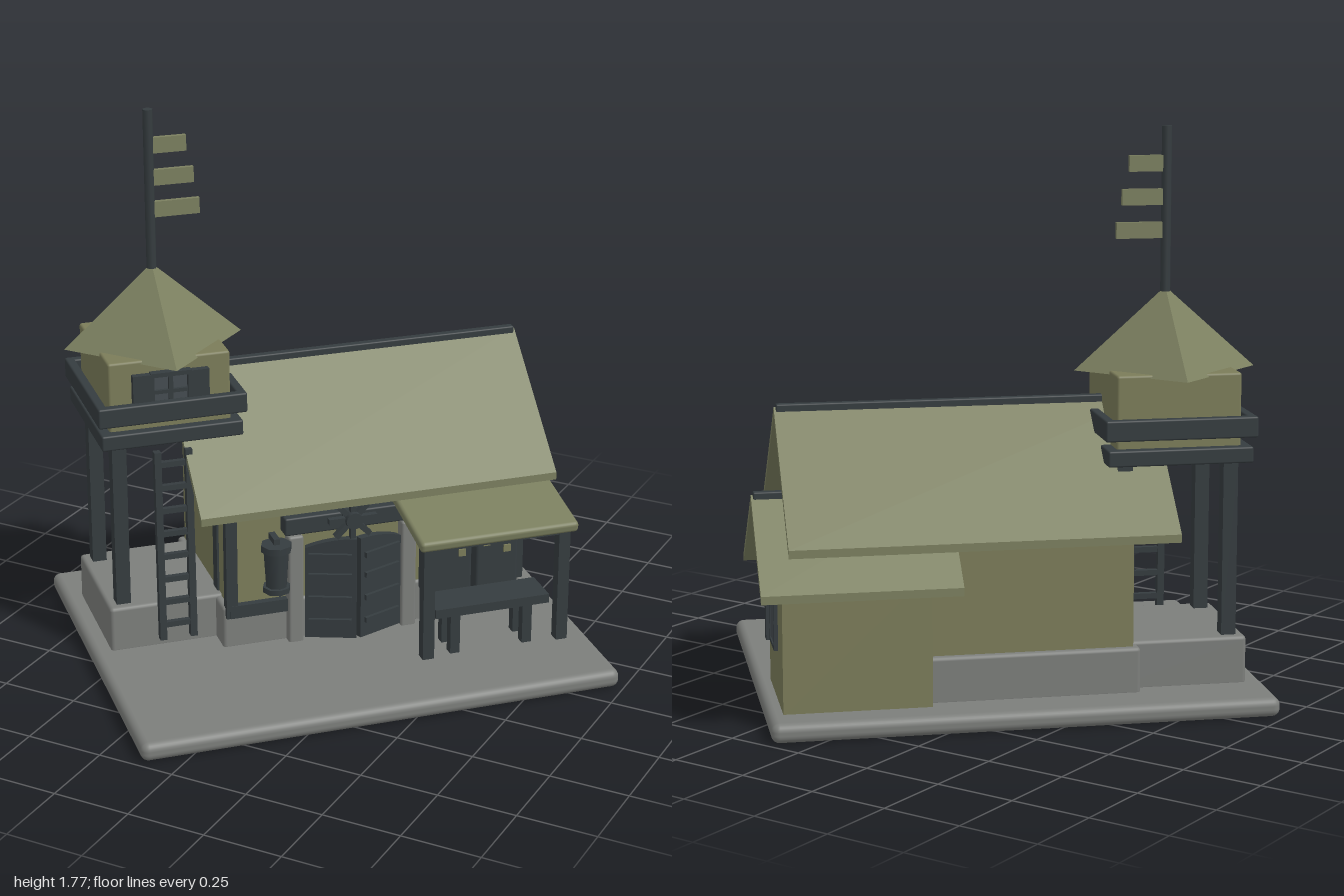
import * as THREE from 'three';
import { RoundedBoxGeometry } from 'three/addons/geometries/RoundedBoxGeometry.js';

const mat = (name, color) => {
  const m = new THREE.MeshStandardMaterial({ color });
  m.name = name;
  return m;
};

export function createModel() {
  const root = new THREE.Group();
  root.name = 'outpost';
  const roofMat = mat('olive roof', 0x7b7f5f);
  const wallMat = mat('olive wall', 0x7b7c59);
  const stone = mat('grey stone', 0x7c7e7b);
  const dark = mat('dark timber', 0x353c3f);
  const glass = mat('window grey', 0x454c50);

  const add = (name, geo, material, x = 0, y = 0, z = 0, parent = root) => {
    const m = new THREE.Mesh(geo, material);
    m.name = name;
    m.position.set(x, y, z);
    parent.add(m);
    return m;
  };
  // Box given by its min and max on each axis, optionally with rounded edges
  const span = (name, material, [x0, x1], [y0, y1], [z0, z1], r = 0, parent = root) => {
    const s = [x1 - x0, y1 - y0, z1 - z0];
    const geo = r ? new RoundedBoxGeometry(...s, 2, r) : new THREE.BoxGeometry(...s);
    return add(name, geo, material, (x0 + x1) / 2, (y0 + y1) / 2, (z0 + z1) / 2, parent);
  };
  // Cross-section (z, y) extruded along x
  const prism = (name, material, pts, x0, x1, z) => {
    const shape = new THREE.Shape(pts.map(p => new THREE.Vector2(...p)));
    const geo = new THREE.ExtrudeGeometry(shape, { depth: x1 - x0, bevelEnabled: false });
    geo.rotateY(Math.PI / 2);
    return add(name, geo, material, x0, 0, z);
  };
  const gableRoof = (name, hw, eave, ridge, x0, x1, z, t = 0.025) => {
    prism(name, roofMat, [[-hw, eave - t], [0, ridge - t], [hw, eave - t],
      [hw, eave], [0, ridge], [-hw, eave]], x0, x1, z);
    span(name + 'Ridge', dark, [x0 + 0.01, x1 - 0.006], [ridge - 0.02, ridge + 0.01], [z - 0.014, z + 0.014], 0.005);
  };
  const gableWall = (name, hw, base, eave, ridge, x0, x1, z) =>
    prism(name, wallMat, [[-hw, base], [hw, base], [hw, eave], [0, ridge], [-hw, eave]], x0, x1, z);

  // Ground slab and foundations
  add('groundSlab', new RoundedBoxGeometry(1.55, 0.06, 1.25, 3, 0.025), stone, 0, 0.03, 0);
  span('houseFoundation', stone, [-0.37, 0.645], [0.05, 0.2], [-0.48, 0.088], 0.012);
  span('towerFoundation', stone, [-0.717, -0.285], [0.05, 0.207], [-0.431, 0.001], 0.012);

  // Main house
  gableWall('houseWalls', 0.27, 0.19, 0.64, 0.9, -0.35, 0.64, -0.19);
  gableRoof('houseRoof', 0.392, 0.573, 0.93, -0.467, 0.714, -0.19);

  // Annex at the end of the house
  gableWall('annexWalls', 0.195, 0.055, 0.48, 0.66, 0.28, 0.73, -0.325);
  gableRoof('annexRoof', 0.285, 0.447, 0.69, 0.2, 0.8, -0.33);
  span('annexWindow', glass, [0.725, 0.738], [0.225, 0.38], [-0.38, -0.25]);
  for (const s of [-1, 1]) {
    span('annexWindowFrame', dark, [0.725, 0.742], [0.22, 0.385],
      [-0.315 + s * 0.065 - 0.007, -0.315 + s * 0.065 + 0.007]);
    span('annexWindowFrame', dark, [0.725, 0.742],
      [0.302 + s * 0.078 - 0.006, 0.302 + s * 0.078 + 0.006], [-0.38, -0.25]);
  }

  // Timber frame on the house
  span('eaveBeam', dark, [-0.36, 0.655], [0.505, 0.55], [0.07, 0.105]);
  span('endBeam', dark, [0.63, 0.66], [0.505, 0.55], [-0.13, 0.075]);
  span('cornerPost', dark, [-0.362, -0.325], [0.165, 0.52], [0.07, 0.102]);
  span('cornerPost', dark, [0.61, 0.648], [0.165, 0.52], [0.07, 0.102]);
  span('endPost', dark, [0.632, 0.67], [0.168, 0.52], [-0.01, 0.027]);
  span('sill', dark, [-0.35, -0.16], [0.165, 0.208], [0.07, 0.104]);

  // Gateway: pillars, lintel, double door and wheel
  for (const s of [-1, 1]) {
    span('gatePillar', stone, [0.055 + s * 0.19 - 0.025, 0.055 + s * 0.19 + 0.025], [0.05, 0.43], [0.06, 0.12], 0.008);
    const hinge = new THREE.Group();
    hinge.name = 'doorLeaf';
    hinge.position.set(0.055 + s * 0.157, 0, 0.105);
    hinge.rotation.y = s * 0.36;
    root.add(hinge);
    // Leaf with an arched top
    const leaf = new THREE.Shape();
    leaf.moveTo(0, 0.07);
    leaf.lineTo(-s * 0.165, 0.07);
    leaf.lineTo(-s * 0.165, 0.42);
    leaf.quadraticCurveTo(-s * 0.08, 0.42, 0, 0.385);
    add('doorPanel', new THREE.ExtrudeGeometry(leaf, { depth: 0.025, bevelEnabled: false }), dark, 0, 0, -0.012, hinge);
    for (const y of [0.13, 0.21, 0.29, 0.36]) {
      const a = -s * 0.012, b = -s * 0.15;
      span('doorStrap', dark, [Math.min(a, b), Math.max(a, b)], [y - 0.009, y + 0.009], [0.01, 0.024], 0, hinge);
    }
  }
  span('gateLintel', dark, [-0.175, 0.285], [0.44, 0.5], [0.06, 0.13], 0.006);
  const wheel = new THREE.Group();
  wheel.name = 'gateWheel';
  wheel.position.set(0.04, 0.485, 0.155);
  root.add(wheel);
  for (let i = 0; i < 4; i++) {
    add('wheelSpoke', new THREE.BoxGeometry(0.16, 0.018, 0.02), dark, 0, 0, 0, wheel).rotation.z = i * Math.PI / 4;
  }
  const hub = new THREE.CylinderGeometry(0.028, 0.028, 0.05, 12);
  hub.rotateX(Math.PI / 2);
  add('wheelHub', hub, dark, 0, 0, 0, wheel);

  // Lantern beside the gate
  add('lanternBody', new THREE.CylinderGeometry(0.042, 0.034, 0.13, 8), dark, -0.205, 0.335, 0.13);
  add('lanternCap', new THREE.CylinderGeometry(0.05, 0.05, 0.022, 8), dark, -0.205, 0.41, 0.13);
  add('lanternFoot', new THREE.CylinderGeometry(0.045, 0.045, 0.018, 8), dark, -0.205, 0.267, 0.13);
  span('lanternBracket', dark, [-0.215, -0.195], [0.42, 0.44], [0.07, 0.14]);

  // Porch with cupboard and table
  add('porchRoof', new RoundedBoxGeometry(0.53, 0.036, 0.335, 2, 0.012), roofMat, 0.455, 0.49, 0.22).rotation.x = 0.2;
  for (const x of [0.225, 0.68]) span('porchPost', dark, [x - 0.019, x + 0.019], [0.055, 0.46], [0.328, 0.366]);
  span('porchBeam', dark, [0.21, 0.7], [0.43, 0.455], [0.335, 0.36]);
  span('cupboard', dark, [0.29, 0.435], [0.17, 0.43], [0.08, 0.19], 0.01);
  span('cupboard', dark, [0.445, 0.59], [0.17, 0.4], [0.08, 0.2], 0.01);
  for (const [x, y] of [[0.34, 0.37], [0.4, 0.33], [0.48, 0.36], [0.55, 0.33]]) {
    span('cupboardStud', wallMat, [x - 0.012, x + 0.012], [y - 0.012, y + 0.012], [0.18, x < 0.44 ? 0.195 : 0.206]);
  }
  span('tableTop', dark, [0.25, 0.635], [0.195, 0.225], [0.23, 0.36]);
  for (const x of [0.32, 0.565]) for (const z of [0.255, 0.335]) {
    span('tableLeg', dark, [x - 0.016, x + 0.016], [0.055, 0.2], [z - 0.016, z + 0.016]);
  }

  // Watchtower
  const tower = new THREE.Group();
  tower.name = 'watchtower';
  tower.position.set(-0.5, 0, -0.215);
  root.add(tower);
  for (const x of [-0.166, 0.166]) for (const z of [-0.166, 0.166]) {
    span('towerPost', dark, [x - 0.023, x + 0.023], [0.2, 0.77], [z - 0.023, z + 0.023], 0, tower);
  }
  span('towerFloor', dark, [-0.227, 0.227], [0.755, 0.805], [-0.227, 0.227], 0.006, tower);
  span('towerCabin', wallMat, [-0.195, 0.195], [0.79, 1.03], [-0.195, 0.195], 0.008, tower);
  for (let i = 0; i < 4; i++) {
    const side = new THREE.Group();
    side.name = 'railSide';
    side.rotation.y = i * Math.PI / 2;
    tower.add(side);
    span('railBeam', dark, [-0.238, 0.238], [0.835, 0.9], [0.208, 0.238], 0.006, side);
  }
  // Window with frame and shutters
  span('towerWindow', glass, [-0.055, 0.055], [0.87, 0.985], [0.19, 0.202], 0, tower);
  span('towerMullion', dark, [-0.007, 0.007], [0.87, 0.985], [0.19, 0.212], 0, tower);
  span('towerMullion', dark, [-0.055, 0.055], [0.92, 0.932], [0.19, 0.212], 0, tower);
  span('towerWindowHead', dark, [-0.065, 0.065], [0.978, 0.992], [0.19, 0.22], 0, tower);
  for (const s of [-1, 1]) {
    span('towerShutter', dark, [s * 0.088 - 0.034, s * 0.088 + 0.034], [0.87, 0.988], [0.19, 0.217], 0, tower);
  }
  const pyramid = new THREE.ConeGeometry(0.287, 0.255, 4).toNonIndexed();
  pyramid.computeVertexNormals();
  add('towerRoof', pyramid, roofMat, 0, 1.147, 0, tower);
  add('mast', new THREE.CylinderGeometry(0.016, 0.016, 0.51, 8), dark, 0, 1.515, 0, tower);
  [[1.655, 0.118], [1.552, 0.14], [1.45, 0.157]].forEach(([y, len]) =>
    span('pennant', roofMat, [0.01, len], [y - 0.025, y + 0.025], [-0.008, 0.008], 0, tower));

  // Ladder leaning on the tower floor
  const ladder = new THREE.Group();
  ladder.name = 'ladder';
  ladder.position.set(-0.508, 0.42, 0.034);
  ladder.rotation.x = -0.03;
  root.add(ladder);
  for (const s of [-1, 1]) span('ladderRail', dark, [s * 0.05 - 0.011, s * 0.05 + 0.011], [-0.32, 0.32], [-0.013, 0.013], 0, ladder);
  for (let i = 0; i < 8; i++) {
    const y = -0.27 + i * 0.078;
    span('ladderRung', dark, [-0.05, 0.05], [y - 0.009, y + 0.009], [-0.009, 0.009], 0, ladder);
  }

  // The whole compound stands diagonally
  root.rotation.y = Math.PI / 4;
  const model = new THREE.Group();
  model.name = 'model';
  model.add(root);
  return model;
}
